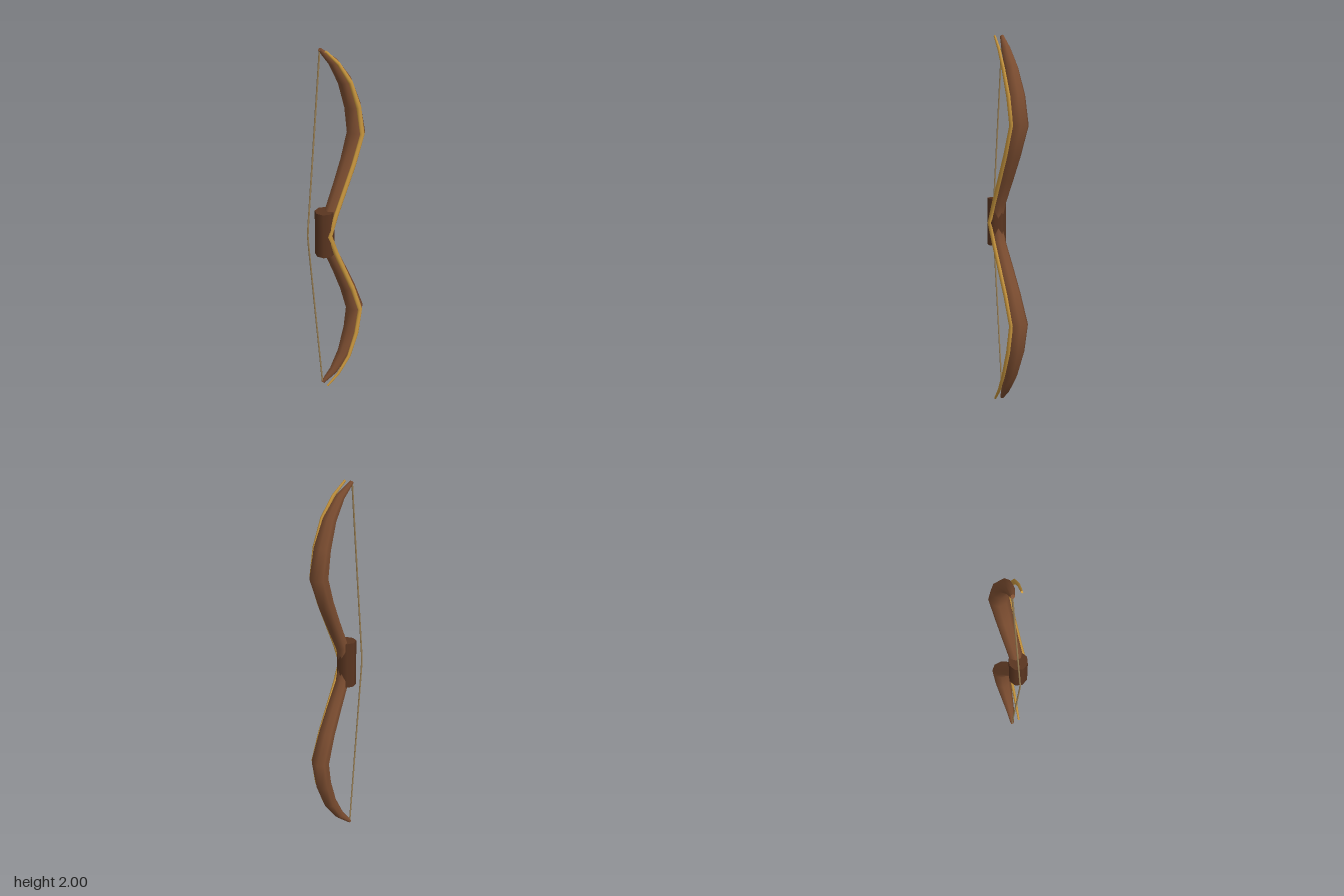
import * as THREE from 'three';

const mat = (name, color, double) => {
  const m = new THREE.MeshStandardMaterial({ color });
  m.name = name;
  return m;
};

// Upper half stations from the grip to the tip: [x, y, z, halfWidth, halfDepth]
const LIMB = [
  [-0.078, 1.0, 0, 0.032, 0.034],
  [-0.05, 1.11, -0.001, 0.031, 0.034],
  [0.015, 1.25, -0.002, 0.034, 0.039],
  [0.07, 1.375, -0.003, 0.038, 0.043],
  [0.125, 1.53, -0.005, 0.045, 0.048],
  [0.1, 1.68, -0.006, 0.039, 0.044],
  [0.05, 1.82, -0.009, 0.033, 0.034],
  [-0.015, 1.925, -0.019, 0.022, 0.023],
  [-0.08, 1.993, -0.038, 0.009, 0.01],
];
const STRIP = [
  [-0.083, 1.0, 0.041, 0.013, 0.009],
  [-0.043, 1.11, 0.04, 0.013, 0.009],
  [0.018, 1.25, 0.042, 0.013, 0.009],
  [0.072, 1.375, 0.044, 0.013, 0.009],
  [0.126, 1.53, 0.045, 0.013, 0.009],
  [0.1, 1.68, 0.046, 0.013, 0.009],
  [0.05, 1.82, 0.042, 0.011, 0.008],
  [-0.015, 1.925, 0.026, 0.009, 0.007],
  [-0.08, 1.993, 0.008, 0.006, 0.005],
];
const STRING = [
  [-0.169, 1.0, -0.04, 0.004, 0.004],
  [-0.166, 1.05, -0.04, 0.004, 0.004],
  [-0.08, 1.99, -0.04, 0.004, 0.004],
];

// Mirror the stations about y = 1 to get the whole length, bottom to top
const fullLength = (half) => [
  ...half.slice(1).reverse().map(([x, y, ...rest]) => [x, 2 - y, ...rest]),
  ...half,
];

// Skin of octagonal rings set square to the path, with closed ends
function sweep(stations, sides = 8) {
  const pos = [], index = [];
  const n = stations.length;
  const dir = (a, b) => new THREE.Vector2(b[0] - a[0], b[1] - a[1]).normalize();
  const grow = 1 / Math.cos(Math.PI / sides);
  const addRing = (i) => {
    const [x, y, z, w, d] = stations[i];
    const t = new THREE.Vector2();
    if (i > 0) t.add(dir(stations[i - 1], stations[i]));
    if (i < n - 1) t.add(dir(stations[i], stations[i + 1]));
    t.normalize();
    for (let j = 0; j < sides; j++) {
      const a = ((j + 0.5) / sides) * Math.PI * 2;
      const u = Math.cos(a) * w * grow;
      pos.push(x + t.y * u, y - t.x * u, z + Math.sin(a) * d * grow);
    }
  };
  for (let i = 0; i < n; i++) addRing(i);
  for (let i = 0; i < n - 1; i++) {
    for (let j = 0; j < sides; j++) {
      const a = i * sides + j, b = i * sides + ((j + 1) % sides);
      index.push(a, a + sides, b, b, a + sides, b + sides);
    }
  }
  // End caps on their own rings so the rims stay crisp
  addRing(0);
  addRing(n - 1);
  const lo = n * sides, hi = lo + sides;
  for (let j = 1; j < sides - 1; j++) {
    index.push(lo, lo + j, lo + j + 1);
    index.push(hi, hi + j + 1, hi + j);
  }
  const g = new THREE.BufferGeometry();
  g.setAttribute('position', new THREE.Float32BufferAttribute(pos, 3));
  g.setIndex(index);
  g.computeVertexNormals();
  return g;
}

export function createModel() {
  const wood = mat('limb wood', 0x7d4e31);
  const leather = mat('grip leather', 0x5a3520);
  const gold = mat('gold inlay', 0xc8963e);
  const cord = mat('string cord', 0x9a8055);

  const bow = new THREE.Group();
  bow.name = 'bow';
  const add = (name, geometry, material) => {
    const mesh = new THREE.Mesh(geometry, material);
    mesh.name = name;
    bow.add(mesh);
    return mesh;
  };

  add('limbs', sweep(fullLength(LIMB)), wood);
  add('frontInlay', sweep(fullLength(STRIP)), gold);
  add('string', sweep(fullLength(STRING), 6), cord);

  // Octagonal wrap around the middle
  const grip = add('grip', new THREE.CylinderGeometry(0.052, 0.052, 0.255, 8), leather);
  grip.position.set(-0.083, 1.005, -0.006);

  return bow;
}
